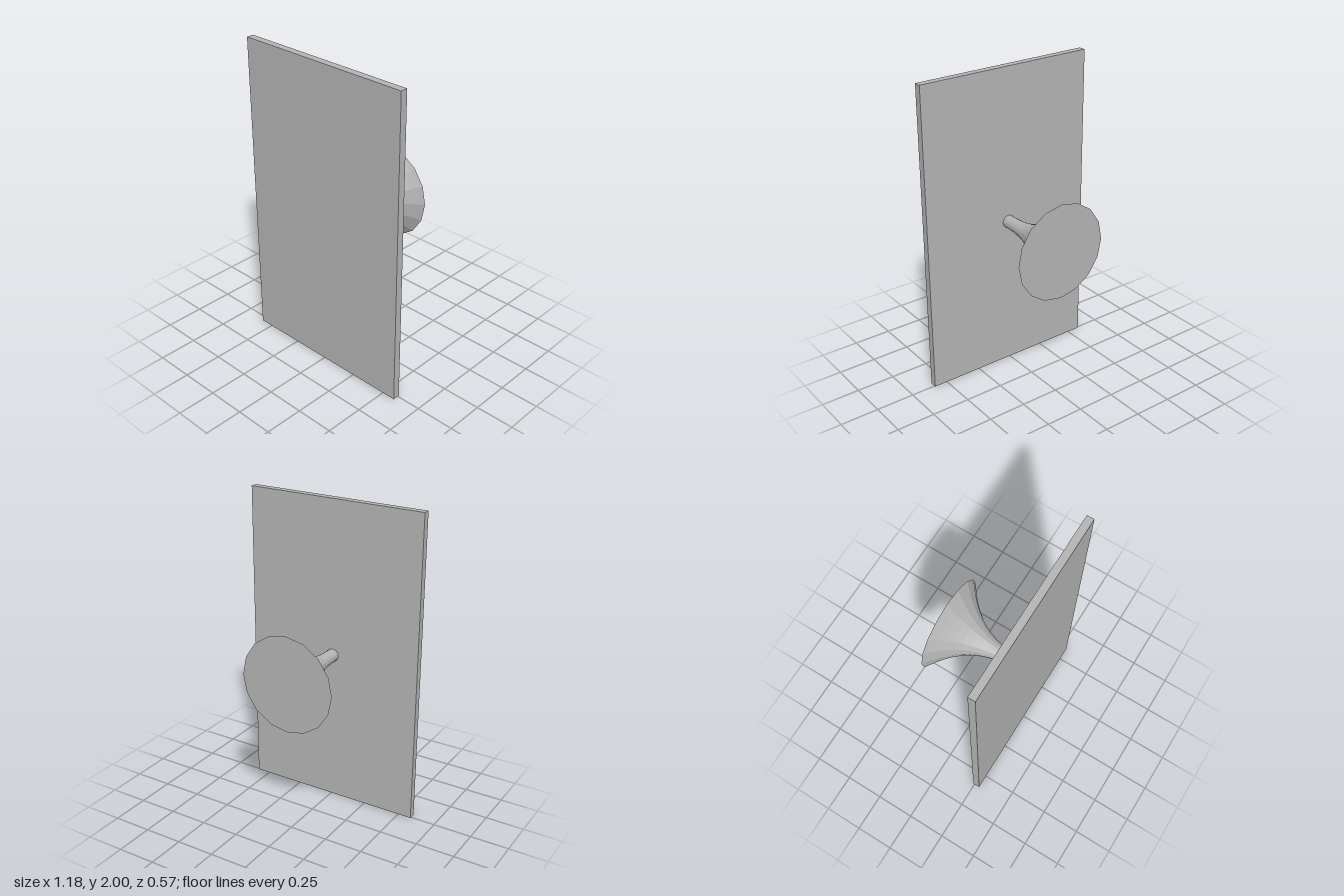
import * as THREE from 'three';

export function createModel() {
  const group = new THREE.Group();
  const grey = new THREE.MeshStandardMaterial({ color: 0xb4b4b4, flatShading: true });
  grey.name = 'plain grey';

  // Thin upright rectangular panel
  const panel = new THREE.Mesh(new THREE.BoxGeometry(1.176, 2, 0.046), grey);
  panel.name = 'panel';
  panel.position.set(0, 1, 0.264);
  group.add(panel);

  // Sixteen-sided flared horn, narrow at the panel and closed by a flat disc
  const length = 0.528, neck = 0.041, rim = 0.309, steps = 12;
  const profile = [new THREE.Vector2(0, 0)];
  for (let i = 0; i <= steps; i++) {
    const t = 1 - Math.pow(1 - i / steps, 1.35);
    profile.push(new THREE.Vector2(neck + (rim - neck) * Math.pow(t, 2.85), t * length));
  }
  profile.push(new THREE.Vector2(0, length));
  const hornGeometry = new THREE.LatheGeometry(profile, 16);
  hornGeometry.rotateX(-Math.PI / 2);
  const horn = new THREE.Mesh(hornGeometry, grey);
  horn.name = 'flaredHorn';
  horn.position.set(0, 1.002, 0.241);
  group.add(horn);

  return group;
}
